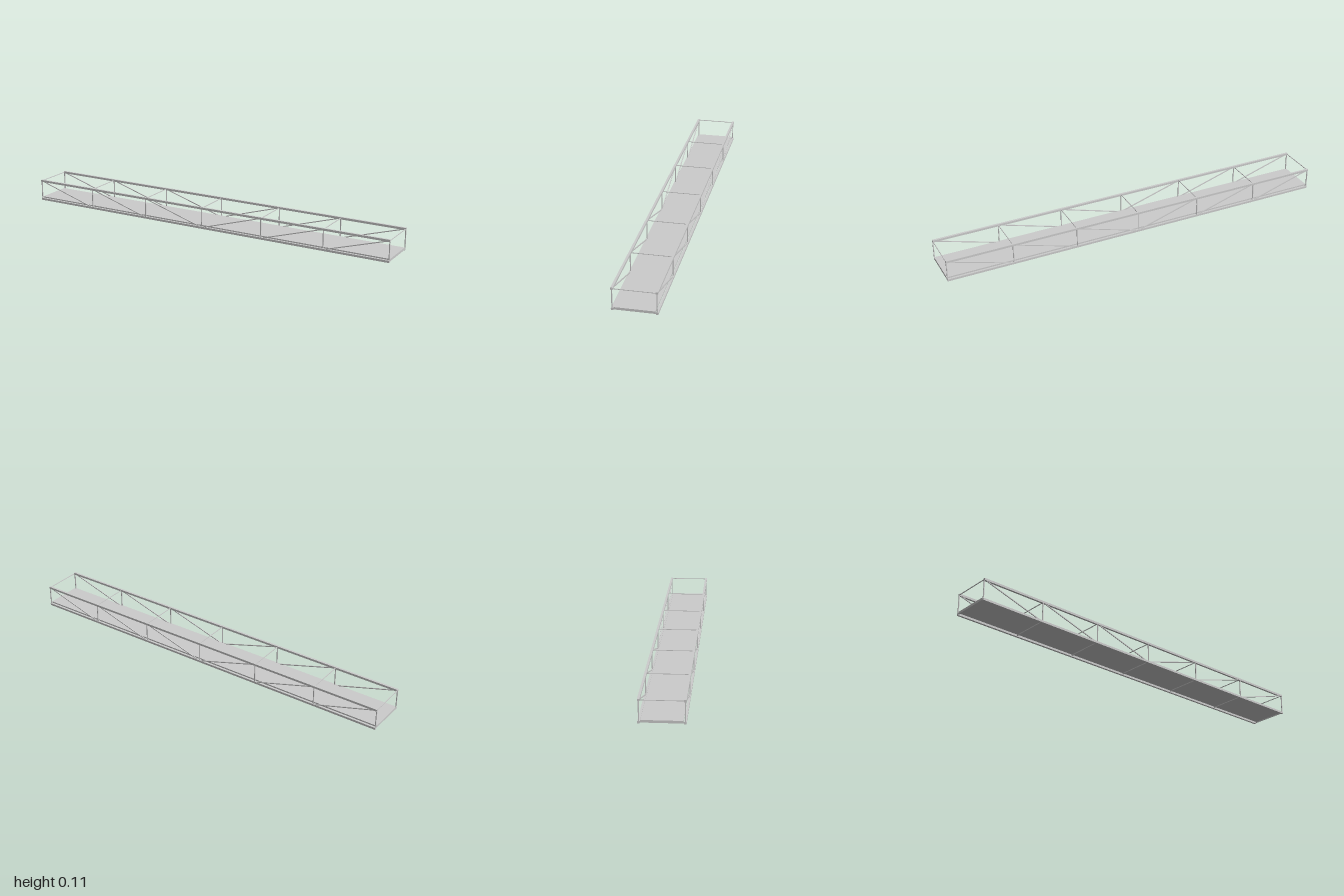
import * as THREE from 'three';

const material = new THREE.MeshStandardMaterial({ color: 0xcccccc, flatShading: true });

// Square-section bar between two points (h = height, w = width across)
function bar(name, a, b, h, w) {
  const start = new THREE.Vector3(...a), end = new THREE.Vector3(...b);
  const dir = end.clone().sub(start);
  const mesh = new THREE.Mesh(new THREE.BoxGeometry(dir.length(), h, w), material);
  mesh.name = name;
  mesh.position.copy(start).add(end).multiplyScalar(0.5);
  mesh.quaternion.setFromUnitVectors(new THREE.Vector3(1, 0, 0), dir.normalize());
  return mesh;
}

export function createModel() {
  const bridge = new THREE.Group();
  bridge.name = 'trussBridge';

  const panels = 6, half = 0.998, z = 0.1;
  const low = 0.0053, high = 0.1063, chord = 0.0106, web = 0.0045;
  const nodes = Array.from({ length: panels + 1 }, (_, i) => -half + (2 * half * i) / panels);

  // Side trusses: chords, posts and diagonals sloping down to midspan
  for (const side of [1, -1]) {
    const truss = new THREE.Group();
    truss.name = side > 0 ? 'frontTruss' : 'backTruss';
    const s = side * z;
    truss.add(bar('bottomChord', [-1, low, s], [1, low, s], chord, chord));
    truss.add(bar('topChord', [-1, high, s], [1, high, s], chord, chord));
    for (const x of nodes) truss.add(bar('post', [x, low, s], [x, high, s], web, web));
    for (let i = 0; i < panels; i++) {
      const down = i < panels / 2;
      truss.add(bar('diagonal', [nodes[i], down ? high : low, s],
        [nodes[i + 1], down ? low : high, s], web, web));
    }
    bridge.add(truss);
  }

  // Cross members at every panel point
  for (const x of nodes) {
    bridge.add(bar('topStrut', [x, high, -z], [x, high, z], 0.0032, 0.0032));
    bridge.add(bar('floorBeam', [x, 0.0075, -z], [x, 0.0075, z], 0.007, 0.004));
  }

  // Walkway deck resting on the floor beams
  const deck = new THREE.Mesh(new THREE.BoxGeometry(2, 0.007, 0.185), material);
  deck.name = 'deck';
  deck.position.y = 0.0125;
  bridge.add(deck);

  return bridge;
}
